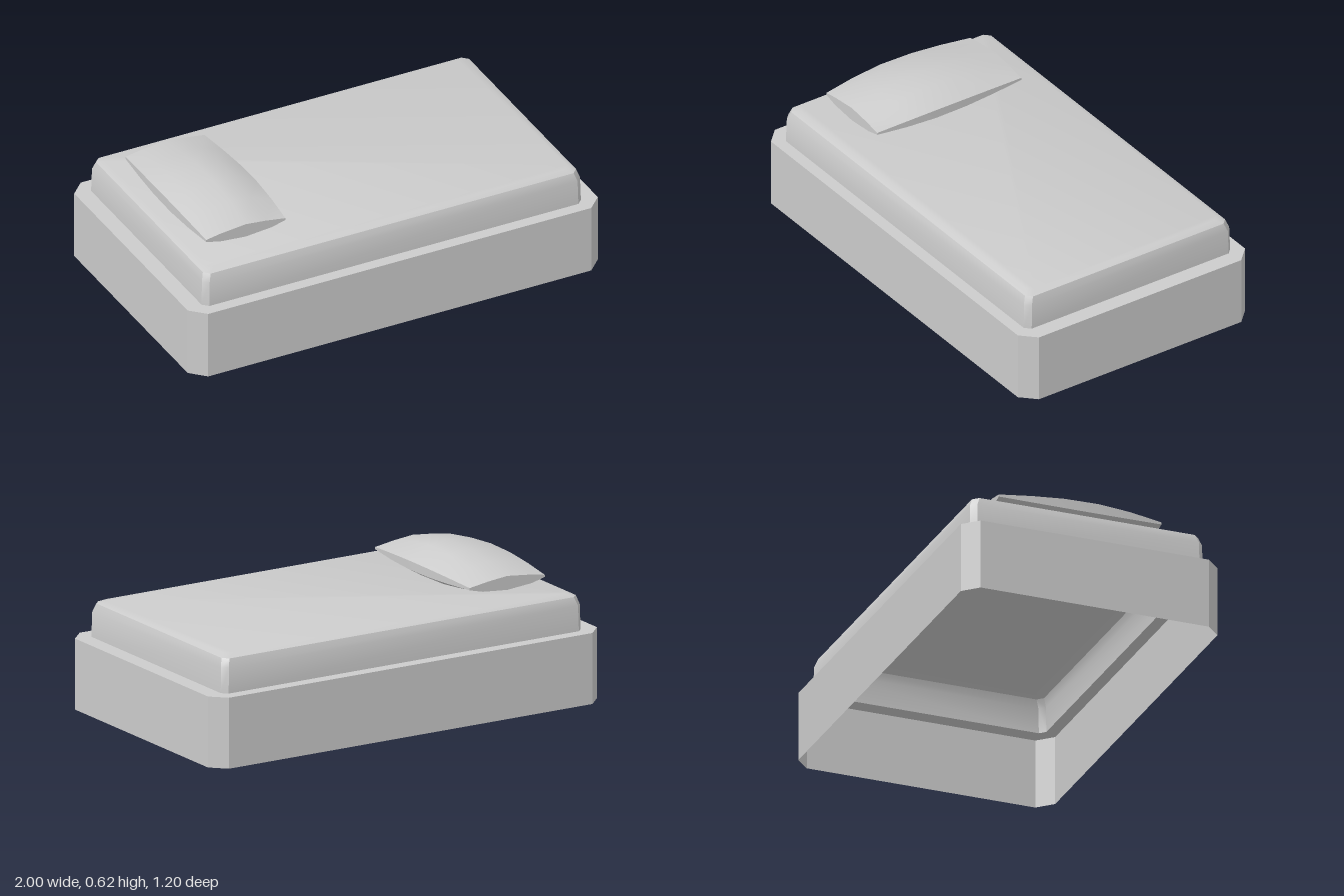
import * as THREE from 'three';
import { toCreasedNormals } from 'three/addons/utils/BufferGeometryUtils.js';

const material = new THREE.MeshStandardMaterial({ color: 0xcccccc, side: THREE.DoubleSide });

// Rectangle with cut corners at height y, counter-clockwise seen from above.
function cutRectangle(y, hx, hz, cut) {
  return [
    [hx, hz - cut], [hx, cut - hz], [hx - cut, -hz], [cut - hx, -hz],
    [-hx, cut - hz], [-hx, hz - cut], [cut - hx, hz], [hx - cut, hz],
  ].map(([x, z]) => [x, y, z]);
}

// Skin a list of equal-length rings, with optional flat ends.
function loft(name, rings, crease, capStart, capEnd) {
  const positions = [];
  const triangle = (a, b, c) => positions.push(...a, ...b, ...c);
  const n = rings[0].length;
  for (let i = 0; i < rings.length - 1; i++) {
    for (let j = 0; j < n; j++) {
      const k = (j + 1) % n;
      triangle(rings[i][j], rings[i][k], rings[i + 1][k]);
      triangle(rings[i][j], rings[i + 1][k], rings[i + 1][j]);
    }
  }
  const first = rings[0];
  const last = rings[rings.length - 1];
  for (let j = 1; j < n - 1; j++) {
    if (capStart) triangle(first[0], first[j + 1], first[j]);
    if (capEnd) triangle(last[0], last[j], last[j + 1]);
  }
  const geometry = new THREE.BufferGeometry();
  geometry.setAttribute('position', new THREE.Float32BufferAttribute(positions, 3));
  const mesh = new THREE.Mesh(toCreasedNormals(geometry, crease), material);
  mesh.name = name;
  return mesh;
}

export function createModel() {
  const group = new THREE.Group();
  group.name = 'bed';

  // Hollow base: walls with a rim around the mattress, open below
  group.add(loft('base', [
    cutRectangle(0, 1, 0.6, 0.066),
    cutRectangle(0.32, 1, 0.6, 0.066),
    cutRectangle(0.32, 0.925, 0.545, 0.025),
  ], 0.3, false, false));

  // Mattress shell with a softened upper edge, open below
  group.add(loft('mattress', [
    cutRectangle(0.32, 0.925, 0.545, 0.025),
    cutRectangle(0.435, 0.922, 0.542, 0.025),
    cutRectangle(0.472, 0.91, 0.528, 0.025),
    cutRectangle(0.485, 0.88, 0.5, 0.025),
  ], 0.6, false, true));

  // Pillow cross-section: [position across, height at ends, height in middle]
  const profile = [
    [-1, 0.535, 0.525], [-1, 0.545, 0.572], [-0.65, 0.557, 0.6], [0, 0.57, 0.622],
    [0.5, 0.56, 0.614], [1, 0.545, 0.56], [1, 0.535, 0.52], [0.65, 0.518, 0.478],
    [0, 0.507, 0.476], [-0.65, 0.518, 0.478],
  ];
  // Stations along the pillow: [z, fullness]
  const stations = [[0.38, 0], [0.23, 0.65], [0.08, 1], [-0.08, 0.93], [-0.23, 0.55], [-0.38, 0]];
  group.add(loft('pillow', stations.map(([z, full]) => profile.map(([u, end, mid]) => [
    -0.637 + u * (0.193 + 0.017 * full),
    THREE.MathUtils.lerp(end, mid, full),
    z,
  ])), 0.6, true, true));

  return group;
}
